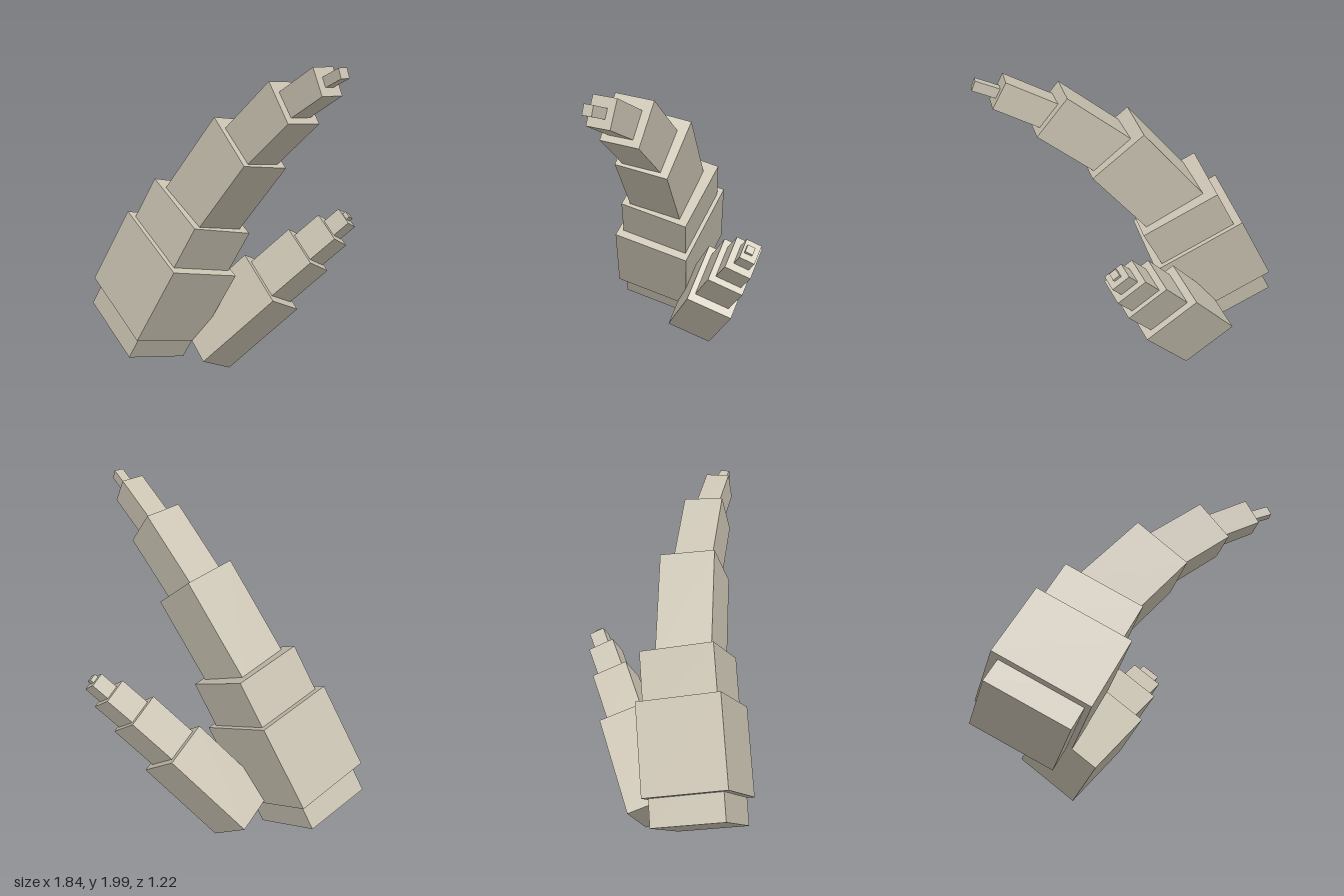
import * as THREE from 'three';

const bone = new THREE.MeshStandardMaterial({ color: 0xc9c2b1 });
bone.name = 'bone';

// One block hung from its front top corner on the -x side:
// rolled about z, then leaned backwards (degrees).
function block(name, corner, [width, length, depth], roll, lean) {
  const geometry = new THREE.BoxGeometry(width, length, depth);
  geometry.translate(width / 2, -length / 2, -depth / 2);
  const mesh = new THREE.Mesh(geometry, bone);
  mesh.name = name;
  mesh.position.set(...corner);
  mesh.rotation.order = 'ZXY';
  mesh.rotation.set(THREE.MathUtils.degToRad(-lean), 0, THREE.MathUtils.degToRad(-roll));
  return mesh;
}

// A horn is a chain of blocks, each sunk into the one below.
function horn(name, segments) {
  const group = new THREE.Group();
  group.name = name;
  segments.forEach(([part, ...spec]) => group.add(block(part, ...spec)));
  return group;
}

export function createModel() {
  const model = new THREE.Group();
  model.name = 'branchingHorn';

  // Large horn curving up and outwards
  model.add(horn('mainHorn', [
    ['root', [-0.723, 0.723, 0.531], [0.525, 0.35, 0.427], 27.3, 13],
    ['base', [-0.61, 1.05, 0.487], [0.608, 0.53, 0.488], 27.4, 13.4],
    ['lowerSegment', [-0.44, 1.27, 0.39], [0.508, 0.42, 0.43], 27.4, 13.2],
    ['middleSegment', [0.01, 1.677, 0.25], [0.39, 0.65, 0.325], 39.5, 10.2],
    ['upperSegment', [0.425, 1.905, 0.165], [0.28, 0.5, 0.232], 50.8, 6.4],
    ['endSegment', [0.74, 1.997, 0.11], [0.169, 0.36, 0.142], 61.5, 2.8],
    ['tip', [0.897, 2.0, 0.067], [0.06, 0.2, 0.057], 67, 0],
  ]));

  // Smaller horn branching off behind
  model.add(horn('sideHorn', [
    ['base', [-0.2, 0.77, -0.11], [0.377, 0.607, 0.293], 37.5, 29.7],
    ['lowerSegment', [-0.005, 0.945, -0.305], [0.278, 0.4, 0.222], 37.5, 31],
    ['middleSegment', [0.117, 1.04, -0.44], [0.2, 0.28, 0.162], 37.5, 32],
    ['upperSegment', [0.195, 1.08, -0.535], [0.119, 0.18, 0.094], 37.5, 32],
    ['tip', [0.232, 1.067, -0.56], [0.045, 0.09, 0.047], 37.5, 32],
  ]));

  return model;
}
